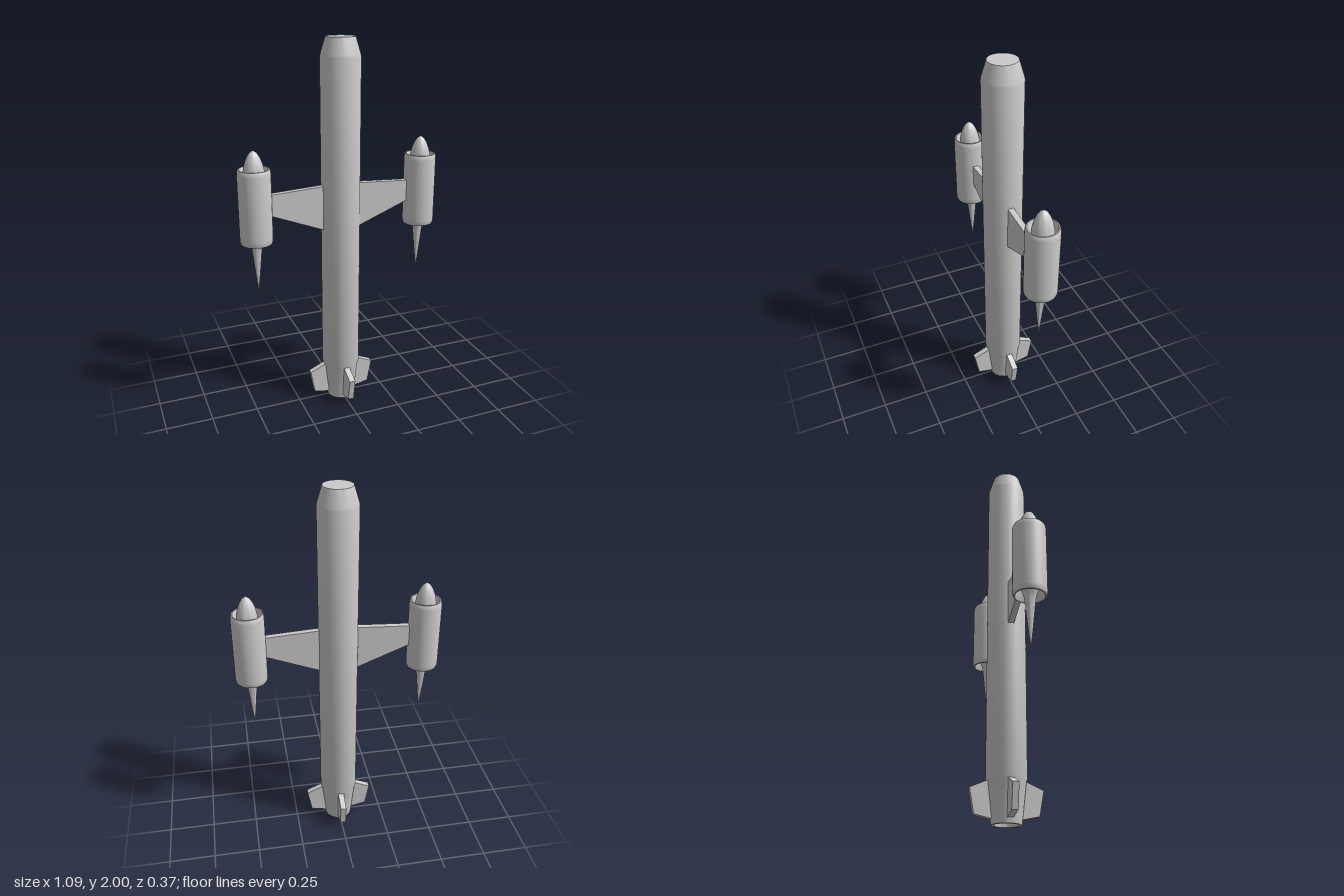
import * as THREE from 'three';
import { toCreasedNormals } from 'three/addons/utils/BufferGeometryUtils.js';

const material = new THREE.MeshStandardMaterial({ color: 0xcccccc });

function addMesh(parent, geometry, name) {
  const mesh = new THREE.Mesh(geometry, material);
  mesh.name = name;
  parent.add(mesh);
  return mesh;
}

// Turned body from [radius, y] pairs, bottom to top along the outside
function turned(profile, segments = 40) {
  const points = profile.map(([r, y]) => new THREE.Vector2(r, y));
  return toCreasedNormals(new THREE.LatheGeometry(points, segments), 0.5);
}

// Flat plate in the xy plane, centred on z = 0
function plate(corners, thickness) {
  const shape = new THREE.Shape(corners.map(([x, y]) => new THREE.Vector2(x, y)));
  const geometry = new THREE.ExtrudeGeometry(shape, { depth: thickness, bevelEnabled: false });
  return geometry.translate(0, 0, -thickness / 2);
}

function createEngine() {
  const engine = new THREE.Group();
  engine.name = 'engine';

  // Hollow cowling with rounded lips and an inner bulkhead
  addMesh(engine, turned([
    [0, 1.06], [0.064, 1.06], [0.07, 0.995], [0.074, 0.988], [0.08, 0.99], [0.084, 1.0],
    [0.085, 1.02], [0.085, 1.355], [0.083, 1.372], [0.079, 1.38], [0.073, 1.38],
    [0.07, 1.373], [0.068, 1.3], [0, 1.3],
  ]), 'engineCowling');

  // Pointed intake spike
  addMesh(engine, turned([
    [0.055, 1.295], [0.055, 1.345], [0.053, 1.372], [0.046, 1.405],
    [0.035, 1.435], [0.02, 1.46], [0, 1.475],
  ]), 'intakeSpike');

  // Flared exhaust cone drawn out to a needle
  addMesh(engine, turned([
    [0, 0.71], [0.012, 0.82], [0.024, 0.94], [0.028, 0.975],
    [0.034, 1.0], [0.045, 1.025], [0.06, 1.06],
  ]), 'exhaustCone');
  return engine;
}

export function createModel() {
  const model = new THREE.Group();
  model.name = 'rocketPlane';

  // Fuselage with a blunt nose and a hollow tail nozzle
  addMesh(model, turned([
    [0, 0.07], [0.056, 0.07], [0.06, 0], [0.075, 0], [0.098, 0.205], [0.103, 0.22],
    [0.103, 1.905], [0.1, 1.918], [0.075, 2], [0, 2],
  ], 48), 'fuselage');

  // Wing and engine on each side
  for (const side of [1, -1]) {
    const half = new THREE.Group();
    half.name = side > 0 ? 'leftWingAssembly' : 'rightWingAssembly';
    half.rotation.y = side > 0 ? 0 : Math.PI;
    addMesh(half, plate([[0.08, 1.01], [0.385, 1.13], [0.385, 1.24], [0.08, 1.257]], 0.032), 'wing');
    const engine = createEngine();
    engine.position.x = 0.46;
    half.add(engine);
    model.add(half);
  }

  // Four tail fins
  for (let i = 0; i < 4; i++) {
    const fin = addMesh(model, plate(
      [[0.07, 0.025], [0.162, 0.045], [0.185, 0.17], [0.1, 0.207], [0.085, 0.207]], 0.032), 'tailFin');
    fin.rotation.y = i * Math.PI / 2;
  }
  return model;
}
